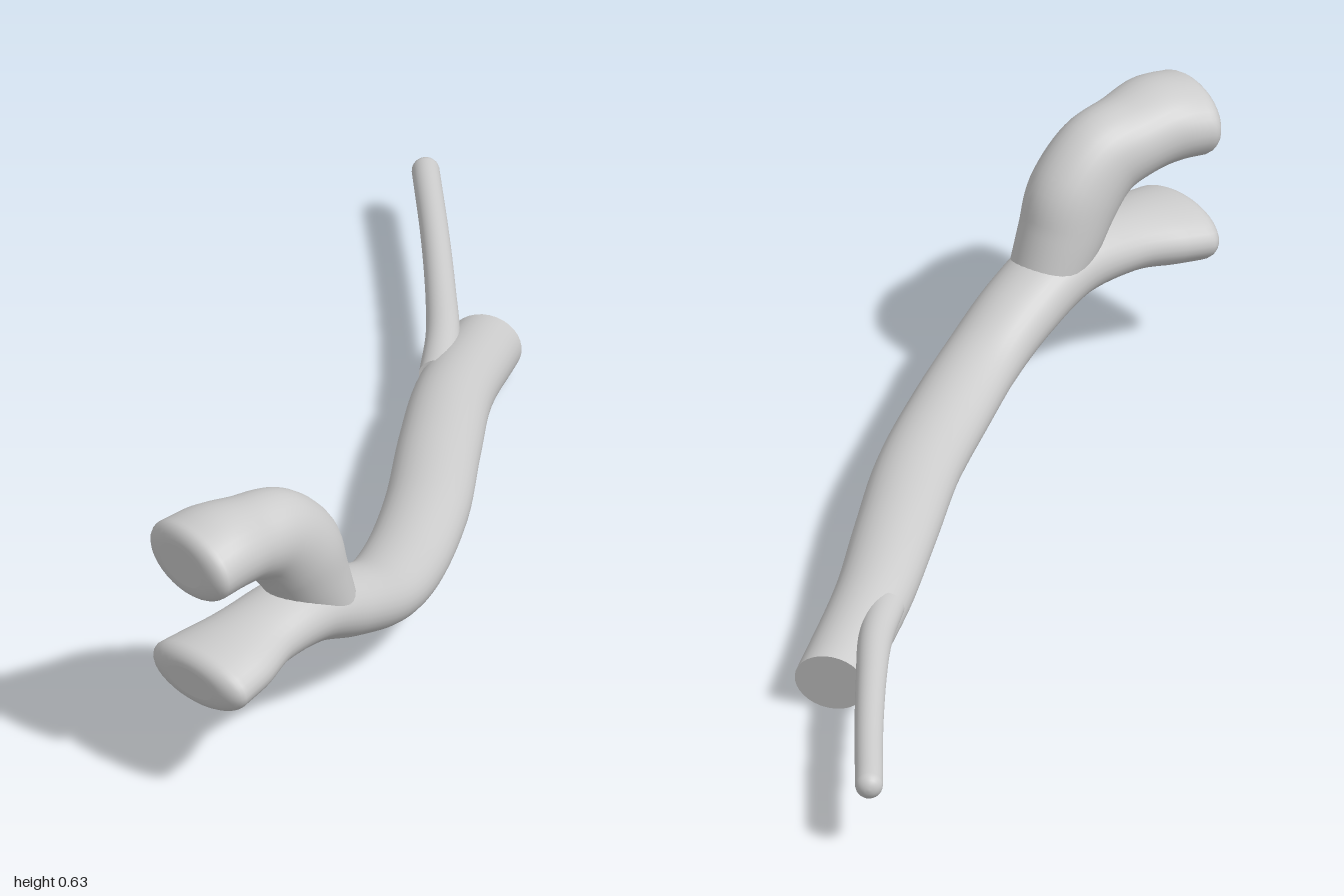
import * as THREE from 'three';

const SIDES = 32;
const UP_Z = new THREE.Vector3(0, 0, 1);

// Sweeps an oval section along stations [x, y, z, height radius, width radius].
// bevel: how much of the radius each end rounds off; bulge: how far the end sticks out.
function limb(name, stations, steps, start, end) {
  const path = new THREE.CatmullRomCurve3(stations.map((s) => new THREE.Vector3(s[0], s[1], s[2])));
  const radii = new THREE.CatmullRomCurve3(stations.map((s) => new THREE.Vector3(s[3], s[4], 0)));
  const pos = [], index = [];

  const ring = (t, scale, offset) => {
    const T = path.getTangent(t), c = path.getPoint(t).addScaledVector(T, offset);
    const r = radii.getPoint(t);
    const n = new THREE.Vector3().crossVectors(T, UP_Z).normalize();
    const b = new THREE.Vector3().crossVectors(T, n);
    for (let j = 0; j < SIDES; j++) {
      const a = (j / SIDES) * Math.PI * 2;
      const p = c.clone().addScaledVector(n, Math.cos(a) * r.x * scale).addScaledVector(b, Math.sin(a) * r.y * scale);
      pos.push(p.x, p.y, p.z);
    }
    return c;
  };

  // Rings from rounded start to rounded end
  const rings = [];
  const rounding = (t, e, sign) => {
    const list = [];
    for (let k = 1; e.bevel > 0 && k <= 6; k++) {
      const a = (k / 6) * Math.PI / 2;
      list.push([t, 1 - e.bevel + e.bevel * Math.cos(a), sign * e.bulge * Math.sin(a)]);
    }
    return list;
  };
  rings.push(...rounding(0, start, -1).reverse());
  for (let i = 0; i <= steps; i++) rings.push([i / steps, 1, 0]);
  rings.push(...rounding(1, end, 1));
  rings.forEach((r) => ring(...r));
  for (let i = 0; i < rings.length - 1; i++) {
    for (let j = 0; j < SIDES; j++) {
      const k = (j + 1) % SIDES, a = i * SIDES, b = a + SIDES;
      index.push(a + j, a + k, b + k, a + j, b + k, b + j);
    }
  }

  // Flat end discs on their own vertices, so a sawn end keeps a sharp rim
  for (const [r, flip] of [[rings[0], true], [rings[rings.length - 1], false]]) {
    const base = pos.length / 3;
    const c = ring(...r);
    pos.push(c.x, c.y, c.z);
    for (let j = 0; j < SIDES; j++) {
      const k = (j + 1) % SIDES;
      index.push(base + SIDES, base + (flip ? k : j), base + (flip ? j : k));
    }
  }

  const geo = new THREE.BufferGeometry();
  geo.setAttribute('position', new THREE.Float32BufferAttribute(pos, 3));
  geo.setIndex(index);
  geo.computeVertexNormals();
  const mesh = new THREE.Mesh(geo, new THREE.MeshStandardMaterial({ color: 0xcccccc }));
  mesh.name = name;
  return mesh;
}

export function createModel() {
  const group = new THREE.Group();
  group.name = 'branch';
  const flat = { bevel: 0, bulge: 0 };

  // Main stem: sawn end, gentle bend, flared lower fork
  group.add(limb('stem', [
    [0.645, 0.073, -0.185, 0.068, 0.078],
    [0.4, 0.12, -0.035, 0.066, 0.083],
    [0.2, 0.14, 0.12, 0.066, 0.088],
    [0, 0.148, 0.28, 0.067, 0.09],
    [-0.2, 0.158, 0.41, 0.068, 0.09],
    [-0.35, 0.187, 0.487, 0.068, 0.088],
    [-0.5, 0.245, 0.532, 0.072, 0.09],
    [-0.64, 0.297, 0.55, 0.073, 0.092],
    [-0.78, 0.296, 0.557, 0.064, 0.098],
    [-0.88, 0.281, 0.563, 0.066, 0.122],
    [-0.95, 0.271, 0.562, 0.066, 0.134],
  ], 60, flat, { bevel: 0.5, bulge: 0.035 }));

  // Upper fork, rising and curling over
  group.add(limb('upperFork', [
    [-0.58, 0.28, 0.548, 0.075, 0.08],
    [-0.625, 0.37, 0.548, 0.092, 0.088],
    [-0.665, 0.45, 0.55, 0.104, 0.092],
    [-0.73, 0.512, 0.55, 0.1, 0.092],
    [-0.81, 0.535, 0.547, 0.088, 0.1],
    [-0.89, 0.547, 0.545, 0.088, 0.115],
    [-0.955, 0.541, 0.538, 0.083, 0.124],
  ], 40, flat, { bevel: 0.45, bulge: 0.03 }));

  // Thin twig growing from the side near the sawn end
  group.add(limb('twig', [
    [0.42, 0.135, -0.1, 0.034, 0.04],
    [0.53, 0.14, -0.195, 0.034, 0.036],
    [0.65, 0.143, -0.32, 0.032, 0.032],
    [0.8, 0.147, -0.485, 0.031, 0.03],
    [0.965, 0.152, -0.675, 0.029, 0.029],
  ], 24, flat, { bevel: 0.95, bulge: 0.026 }));

  return group;
}
